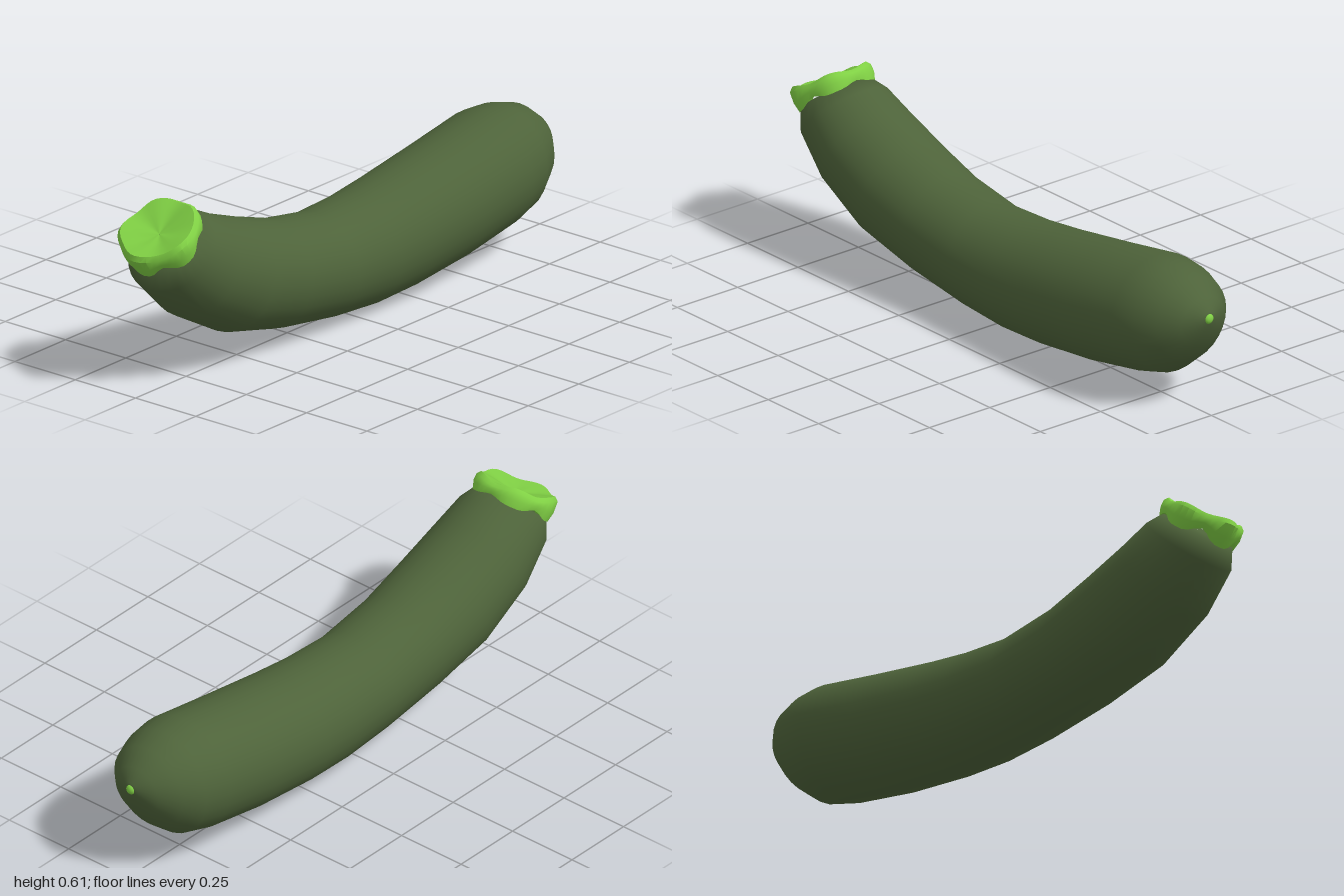
import * as THREE from 'three';
import { toCreasedNormals } from 'three/addons/utils/BufferGeometryUtils.js';

// Closed-ring loft; rings run clockwise around the direction of travel.
function loft(rings) {
  const n = rings[0].length, pos = [], idx = [];
  rings.forEach(r => r.forEach(p => pos.push(p.x, p.y, p.z)));
  for (let i = 0; i < rings.length - 1; i++) {
    for (let j = 0; j < n; j++) {
      const k = (j + 1) % n, a = i * n + j, b = a + n, c = i * n + k, d = c + n;
      idx.push(a, b, c, c, b, d);
    }
  }
  const g = new THREE.BufferGeometry();
  g.setAttribute('position', new THREE.Float32BufferAttribute(pos, 3));
  g.setIndex(idx);
  g.computeVertexNormals();
  return g;
}

const ring = (n, fn) => Array.from({ length: n }, (_, j) => fn(j / n * Math.PI * 2));

// Body sections from blossom end to stem end: top z, top y, bottom z, bottom y, half width
const SECTIONS = [
  [-0.992, 0.336, -0.992, 0.334, 0.001],
  [-0.988, 0.36, -0.985, 0.30, 0.032],
  [-0.96, 0.40, -0.955, 0.23, 0.09],
  [-0.9, 0.445, -0.9, 0.16, 0.145],
  [-0.82, 0.468, -0.83, 0.103, 0.179],
  [-0.73, 0.472, -0.74, 0.078, 0.197],
  [-0.5, 0.433, -0.5, 0.036, 0.198],
  [-0.25, 0.395, -0.25, 0.01, 0.193],
  [-0.1, 0.378, -0.1, 0.004, 0.186],
  [0.1, 0.37, 0.1, 0.018, 0.178],
  [0.3, 0.405, 0.36, 0.056, 0.178],
  [0.46, 0.458, 0.6, 0.115, 0.184],
  [0.62, 0.518, 0.8, 0.225, 0.177],
  [0.71, 0.562, 0.93, 0.35, 0.156],
  [0.77, 0.574, 0.95, 0.425, 0.127],
  [0.86, 0.503, 0.86, 0.501, 0.001],
];

export function createModel() {
  const model = new THREE.Group();
  const skin = new THREE.MeshStandardMaterial({ color: 0x4e633a });
  skin.name = 'dark green skin';
  const green = new THREE.MeshStandardMaterial({ color: 0x80d044 });
  green.name = 'light green stem';
  const add = (geo, mat, name, parent = model) => {
    const m = new THREE.Mesh(geo, mat);
    m.name = name;
    parent.add(m);
    return m;
  };

  // Curved body
  add(loft(SECTIONS.map(([tz, ty, bz, by, w]) => ring(28, t => {
    const c = Math.cos(t);
    return new THREE.Vector3(w * Math.sin(t),
      (ty + by) / 2 + c * (ty - by) / 2, (tz + bz) / 2 + c * (tz - bz) / 2);
  }))), skin, 'body');

  // Stem cap, in a frame tilted to the cut end
  const stem = new THREE.Group();
  stem.name = 'stem';
  model.add(stem);
  const base = new THREE.Vector3(0, 0.5, 0.86);
  const axis = new THREE.Vector3(0, 0.78, 0.62).normalize();
  const up = new THREE.Vector3(0, 0.62, -0.78).normalize();
  const lobe = t => Math.cos(5 * (t - Math.PI)); // five lobes, one at the front
  const capRing = (r, h, shift = 0) => ring(40, t => {
    const R = r(t);
    return base.clone().addScaledVector(axis, h(t))
      .addScaledVector(up, R * Math.cos(t) + shift)
      .add(new THREE.Vector3(R * Math.sin(t), 0, 0));
  });
  const front = t => (1 - Math.cos(t)) / 2;
  const notch = t => Math.pow((1 - lobe(t)) / 2, 2);
  const skirtH = t => -0.012 + 0.034 * notch(t) * (0.35 + 0.65 * front(t));
  const rimH = t => 0.042 + 0.036 * front(t) + 0.005 * lobe(t);
  const rimR = t => 0.123 + 0.004 * lobe(t);
  const outer = [
    capRing(() => 0.1, t => skirtH(t) + 0.006),
    capRing(t => 0.13 + 0.003 * lobe(t), skirtH),
    capRing(t => 0.137 + 0.003 * lobe(t), t => 0.6 * skirtH(t) + 0.4 * rimH(t), 0.002),
    capRing(t => 0.135 + 0.004 * lobe(t), t => rimH(t) - 0.012, 0.004),
    capRing(rimR, rimH, 0.007),
  ];
  add(toCreasedNormals(loft(outer), 0.8), green, 'stemCollar', stem);

  // Shallow dish where the stem was cut
  add(loft([
    outer[4],
    capRing(t => 0.085 + 0.004 * lobe(t), t => 0.6 * rimH(t) + 0.016, 0.004),
    capRing(() => 0.045, t => 0.3 * rimH(t) + 0.024, 0.002),
    capRing(() => 0.001, () => 0.036),
  ]), green, 'stemDish', stem);

  // Blossom scar at the far end
  const tip = add(new THREE.SphereGeometry(0.02, 12, 8), green, 'blossomTip');
  tip.scale.set(0.85, 0.85, 0.6);
  tip.position.set(0, 0.335, -0.987);

  return model;
}
